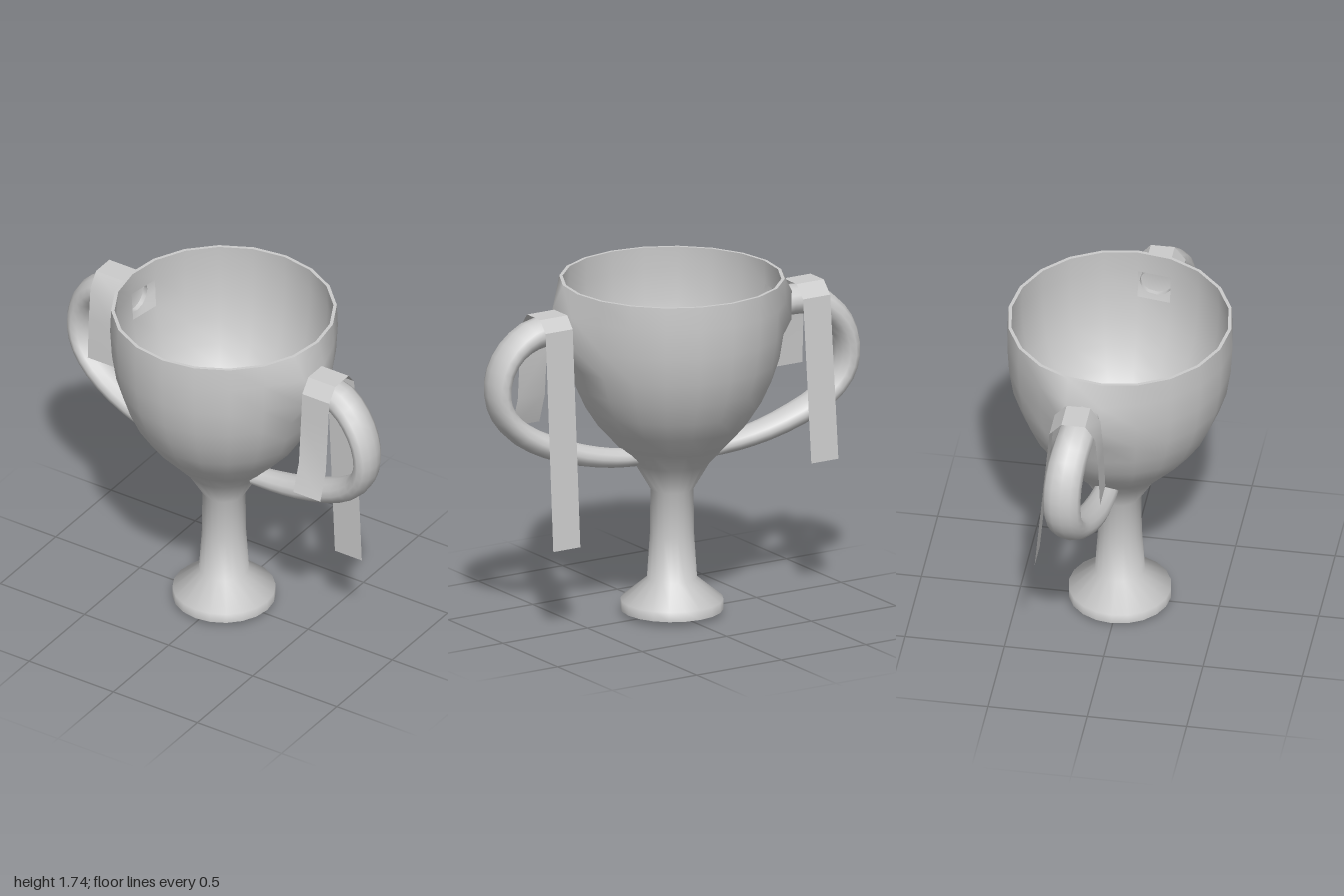
import * as THREE from 'three';
import { toCreasedNormals } from 'three/addons/utils/BufferGeometryUtils.js';

const V2 = (p) => new THREE.Vector2(p[0], p[1]);
const grey = new THREE.MeshStandardMaterial({ color: 0xcccccc, side: THREE.DoubleSide });

function mesh(name, geometry) {
  const m = new THREE.Mesh(geometry, grey);
  m.name = name;
  return m;
}

// Hollow cup, stem and foot in one turned profile
function cupGeometry() {
  const sides = 20;
  const outer = [
    [0, 0.005], [0.257, 0.03], [0.257, 0.08], [0.125, 0.19], [0.11, 0.42], [0.107, 0.65],
    [0.19, 0.79], [0.28, 0.89], [0.38, 1.0], [0.445, 1.1], [0.495, 1.21], [0.535, 1.33],
    [0.557, 1.47], [0.566, 1.62], [0.561, 1.74],
  ];
  const inner = [
    [0.544, 1.74], [0.549, 1.62], [0.54, 1.47], [0.518, 1.33], [0.478, 1.21], [0.427, 1.1],
    [0.362, 1.005], [0.265, 0.905], [0.17, 0.8], [0.085, 0.66], [0.085, 0.42], [0.1, 0.2],
    [0.22, 0.08], [0, 0.06],
  ];
  const profile = [...outer, ...inner].map(V2);
  const n = profile.length;
  const g = new THREE.LatheGeometry(profile, sides);

  // Pull the wall out into a seat for each handle
  const pos = g.attributes.position;
  for (const row of [12, 13]) {
    for (const [col, sx] of [[4, 1], [5, 1], [14, -1], [15, -1]]) pos.setX(col * n + row, sx * 0.595);
  }

  // Leave a square recess in the inner wall behind each seat
  const recessRow = outer.length + 1;
  const holes = [4, 14].map((col) => col * (n - 1) + recessRow);
  g.setIndex([...g.index.array].filter((_, k) => !holes.includes(Math.floor(k / 6))));
  return toCreasedNormals(g, 1.0);
}

// Oval handle swept along a curve; each station is x, y, z, in-plane radius, z radius
function handleGeometry() {
  const stations = [
    [0.57, 1.545, 0.09, 0.076, 0.085], [0.67, 1.547, 0.095, 0.076, 0.092],
    [0.77, 1.53, 0.105, 0.074, 0.095], [0.865, 1.46, 0.125, 0.066, 0.096],
    [0.925, 1.36, 0.137, 0.059, 0.096], [0.942, 1.24, 0.138, 0.056, 0.095],
    [0.91, 1.13, 0.13, 0.056, 0.093], [0.82, 1.03, 0.112, 0.06, 0.09],
    [0.68, 0.95, 0.085, 0.06, 0.085], [0.5, 0.885, 0.058, 0.055, 0.078],
    [0.34, 0.85, 0.04, 0.05, 0.068], [0.21, 0.835, 0.03, 0.045, 0.06],
  ];
  const curve = new THREE.CatmullRomCurve3(stations.map((s) => new THREE.Vector3(s[0], s[1], s[2])));
  const steps = (stations.length - 1) * 2, sides = 12;
  const verts = [], index = [];
  for (let i = 0; i <= steps; i++) {
    const t = i / steps;
    const a = stations[Math.floor(i / 2)], b = stations[Math.ceil(i / 2)];
    const rn = (a[3] + b[3]) / 2, rz = (a[4] + b[4]) / 2;
    const p = curve.getPoint(t), d = curve.getTangent(t);
    const len = Math.hypot(d.x, d.y);
    for (let j = 0; j < sides; j++) {
      const ang = (j / sides) * Math.PI * 2;
      const u = Math.cos(ang) * rn;
      verts.push(p.x - (d.y / len) * u, p.y + (d.x / len) * u, p.z + Math.sin(ang) * rz);
      if (i < steps) {
        const k = (j + 1) % sides, r = i * sides, q = r + sides;
        index.push(r + j, r + k, q + j, r + k, q + k, q + j);
      }
    }
  }
  // Close the lower end
  const last = steps * sides;
  for (let j = 1; j < sides - 1; j++) index.push(last, last + j, last + j + 1);
  const g = new THREE.BufferGeometry();
  g.setAttribute('position', new THREE.Float32BufferAttribute(verts, 3));
  g.setIndex(index);
  return toCreasedNormals(g, 1.0);
}

// Thin strip between x0 and x1 following a (z, y) path
function ribbonGeometry(x0, x1, path) {
  const verts = [], index = [];
  path.forEach(([z, y], i) => {
    verts.push(x0, y, z, x1, y, z);
    const a = i * 2;
    if (i < path.length - 1) index.push(a, a + 1, a + 2, a + 1, a + 3, a + 2);
  });
  const g = new THREE.BufferGeometry();
  g.setAttribute('position', new THREE.Float32BufferAttribute(verts, 3));
  g.setIndex(index);
  return toCreasedNormals(g, 0.5);
}

export function createModel() {
  const group = new THREE.Group();
  group.name = 'trophyCup';
  group.add(mesh('cup', cupGeometry()));

  // Handles, the right one turned half way round
  const handle = handleGeometry();
  const left = mesh('leftHandle', handle);
  const right = mesh('rightHandle', handle);
  right.rotation.y = Math.PI;
  group.add(left, right);

  // Ribbons draped over the handles, front end first
  group.add(mesh('leftRibbon', ribbonGeometry(0.6, 0.76, [
    [0.285, 1.02], [0.235, 1.17], [0.215, 1.42], [0.205, 1.56], [0.15, 1.63],
    [0.03, 1.63], [-0.02, 1.57], [-0.09, 0.46],
  ])));
  group.add(mesh('rightRibbon', ribbonGeometry(-0.79, -0.63, [
    [0.03, 1.17], [0.02, 1.4], [0.005, 1.57], [-0.045, 1.645],
    [-0.165, 1.645], [-0.225, 1.58], [-0.3, 0.75],
  ])));
  return group;
}
